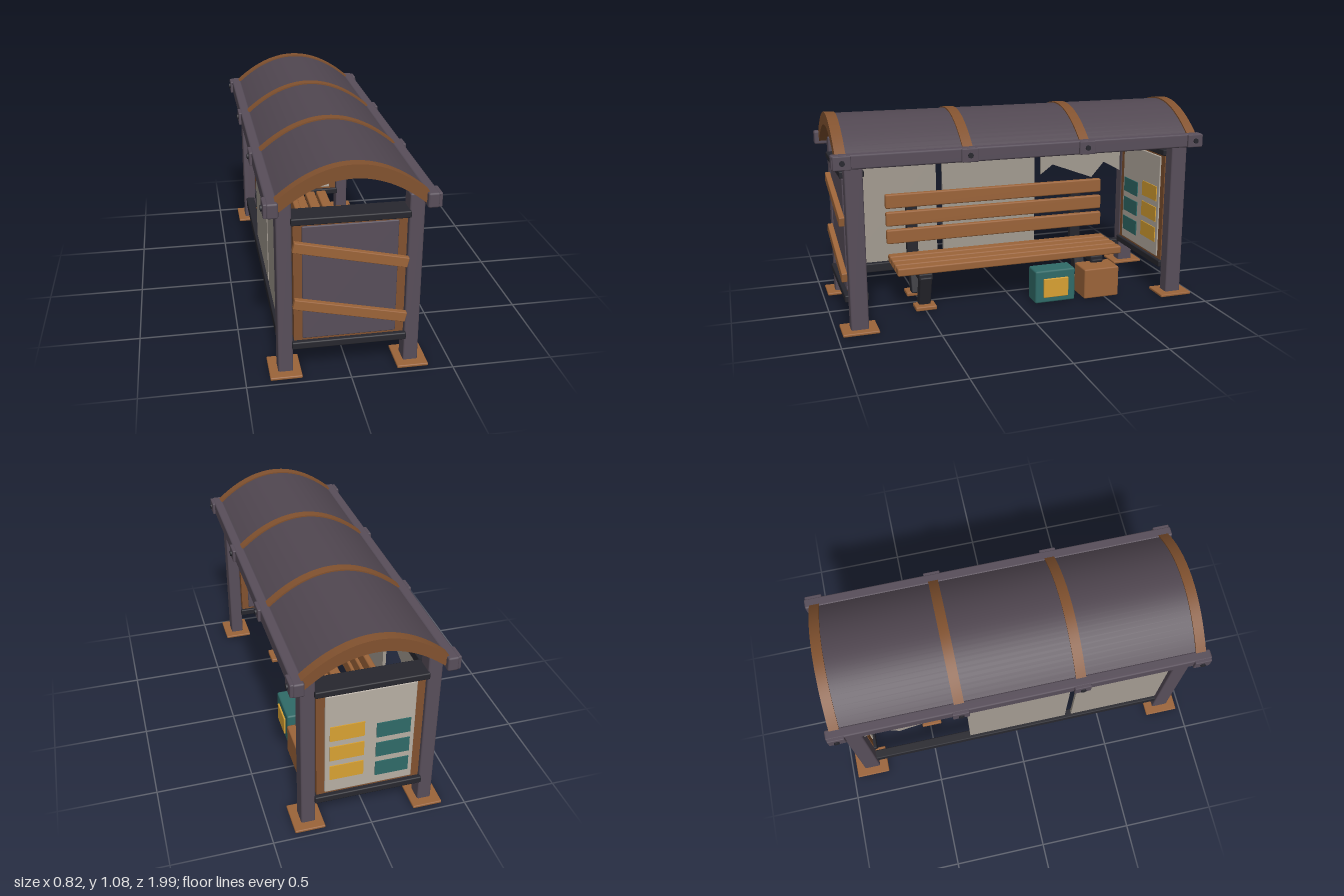
import * as THREE from 'three';
import { RoundedBoxGeometry } from 'three/addons/geometries/RoundedBoxGeometry.js';
import { toCreasedNormals } from 'three/addons/utils/BufferGeometryUtils.js';

const mat = (color, side = THREE.FrontSide) => new THREE.MeshStandardMaterial({ color, side });
const M = {
  steel: mat(0x584e5a), roof: mat(0x51475180 >>> 8), iron: mat(0x27272e),
  wood: mat(0x9c6439), darkWood: mat(0x82522f), teal: mat(0x2f6b68),
  yellow: mat(0xd9a233), paper: mat(0xb8afa4), glass: mat(0xa39b91),
};

export function createModel() {
  const root = new THREE.Group();

  const add = (name, geometry, material, x = 0, y = 0, z = 0, parent = root) => {
    const mesh = new THREE.Mesh(geometry, material);
    mesh.name = name;
    mesh.position.set(x, y, z);
    parent.add(mesh);
    return mesh;
  };
  // Chamfered box given by its extents on each axis
  const block = (name, material, [x0, x1], [y0, y1], [z0, z1], bevel = 0.006, parent = root) => {
    const w = x1 - x0, h = y1 - y0, d = z1 - z0;
    const g = bevel ? new RoundedBoxGeometry(w, h, d, 1, bevel) : new THREE.BoxGeometry(w, h, d);
    return add(name, g, material, (x0 + x1) / 2, (y0 + y1) / 2, (z0 + z1) / 2, parent);
  };
  const span = (c, size) => [c - size / 2, c + size / 2];
  const group = (name) => {
    const g = new THREE.Group();
    g.name = name;
    root.add(g);
    return g;
  };

  // Corner posts on foot plates
  for (const sx of [-1, 1]) for (const sz of [-1, 1]) {
    block('post', M.steel, span(sx * 0.305, 0.072), [0, 0.9], span(sz * 0.883, 0.09), 0.008);
    block('footPlate', M.wood, span(sx * 0.307, 0.154), [0.004, 0.019], span(sz * 0.883, 0.185), 0.005);
  }

  // Eave beams with bolted brackets
  const ribZ = [-0.943, -0.314, 0.314, 0.943];
  for (const s of [-1, 1]) {
    block('eaveBeam', M.steel, span(s * 0.36, 0.054), [0.852, 0.924], [-0.993, 0.993], 0.009);
    for (const z of ribZ) {
      block('bracket', M.steel, span(s * 0.388, 0.024), [0.853, 0.922], span(z, 0.088), 0.005);
      const bolt = add('bolt', new THREE.CylinderGeometry(0.014, 0.014, 0.012, 8), M.iron, s * 0.402, 0.888, z);
      bolt.rotation.z = Math.PI / 2;
    }
  }

  // Arched roof sheet and ribs: [half width, end height, control height]
  const arch = (outer, inner, depth) => {
    const s = new THREE.Shape();
    s.moveTo(-outer[0], outer[1]);
    s.quadraticCurveTo(0, outer[2], outer[0], outer[1]);
    s.lineTo(inner[0], inner[1]);
    s.quadraticCurveTo(0, inner[2], -inner[0], inner[1]);
    const g = new THREE.ExtrudeGeometry(s, { depth, bevelEnabled: false, curveSegments: 28 });
    g.translate(0, 0, -depth / 2);
    return toCreasedNormals(g, 0.5);
  };
  add('roofSheet', arch([0.348, 0.91, 1.226], [0.34, 0.89, 1.19], 1.89), M.roof);
  for (const z of ribZ)
    add('roofRib', arch([0.35, 0.92, 1.23], [0.33, 0.872, 1.147], 0.052), M.darkWood, 0, 0, z);

  // End walls: iron rails, wooden frame and inner panel
  for (const s of [-1, 1]) {
    const wall = group(s > 0 ? 'frontWall' : 'backWall');
    for (const y of [[0.145, 0.182], [0.788, 0.822]])
      block('endRail', M.iron, [-0.275, 0.275], y, span(s * 0.883, 0.122), 0.006, wall);
    block('panelFrame', M.darkWood, [-0.263, 0.263], [0.178, 0.79], span(s * 0.88, 0.08), 0, wall);
    block('panel', s > 0 ? M.steel : M.paper, [-0.223, 0.223], [0.193, 0.775], span(s * 0.88, 0.094), 0.005, wall);
  }

  // Notices showing on both faces of the back wall
  for (let i = 0; i < 3; i++) {
    block('yellowNotice', M.yellow, [0.03, 0.2], span(0.555 - i * 0.12, 0.085), span(-0.88, 0.104), 0);
    block('tealNotice', M.teal, [-0.2, -0.03], span(0.528 - i * 0.12, 0.085), span(-0.88, 0.104), 0);
  }

  // Slanted boards nailed across the front wall
  for (const y of [0.626, 0.335]) {
    const board = block('nailedBoard', M.wood, span(0, 0.547), span(y, 0.05), [0.926, 0.955], 0.004);
    board.rotation.z = -0.222;
  }

  // Long rear side: rails, two whole panes and a broken one
  block('upperSideRail', M.iron, span(-0.305, 0.05), [0.742, 0.793], [-0.85, 0.85]);
  block('lowerSideRail', M.iron, span(-0.305, 0.05), [0.098, 0.15], [-0.85, 0.85]);
  for (const z of [[0.325, 0.845], [-0.28, 0.288]])
    block('pane', M.glass, span(-0.305, 0.018), [0.155, 0.748], z, 0);
  const shard = new THREE.Shape([[-0.32, 0.748], [-0.845, 0.748], [-0.845, 0.588], [-0.73, 0.65],
    [-0.65, 0.56], [-0.395, 0.655], [-0.32, 0.6]].map(([z, y]) => new THREE.Vector2(z, y)));
  add('brokenPane', new THREE.ExtrudeGeometry(shard, { depth: 0.018, bevelEnabled: false }), M.glass, -0.296)
    .rotation.y = -Math.PI / 2;

  // Bench slats
  const bench = group('bench');
  const length = [-0.642, 0.65];
  for (let i = 0; i < 4; i++)
    block('seatSlat', M.wood, span(-0.087 + i * 0.073, 0.062), [0.211, 0.255], length, 0.008, bench);
  for (let i = 0; i < 3; i++)
    block('backSlat', M.wood, span(-0.142 - i * 0.005, 0.034), span(0.345 + i * 0.1, 0.08), length, 0.008, bench);

  // Bench supports with splayed legs and feet
  for (const z of [-0.49, 0.5]) {
    block('seatBearer', M.iron, [-0.18, 0.165], [0.175, 0.212], span(z, 0.075), 0.006, bench);
    block('backSupport', M.iron, span(-0.175, 0.036), [0.19, 0.53], span(z, 0.064), 0.006, bench);
    for (const s of [-1, 1]) {
      const leg = block('leg', M.iron, span(s * 0.117, 0.06), span(0.11, 0.19), span(z, 0.064), 0.006, bench);
      leg.rotation.z = -s * 0.3;
      block('benchFoot', M.wood, span(s * 0.119, 0.09), [0.005, 0.028], span(z, 0.115), 0.006, bench);
    }
  }

  // Small teal case with a raised bezel and yellow face
  const crate = group('tealCase');
  block('caseBody', M.teal, [0.14, 0.257], [0.005, 0.19], [-0.32, -0.087], 0.01, crate);
  block('caseFace', M.yellow, [0.25, 0.266], [0.037, 0.145], [-0.277, -0.133], 0.004, crate);

  // Wooden box
  block('woodenBox', M.wood, [0.125, 0.272], [0.005, 0.176], [-0.577, -0.37], 0.008);

  return root;
}
